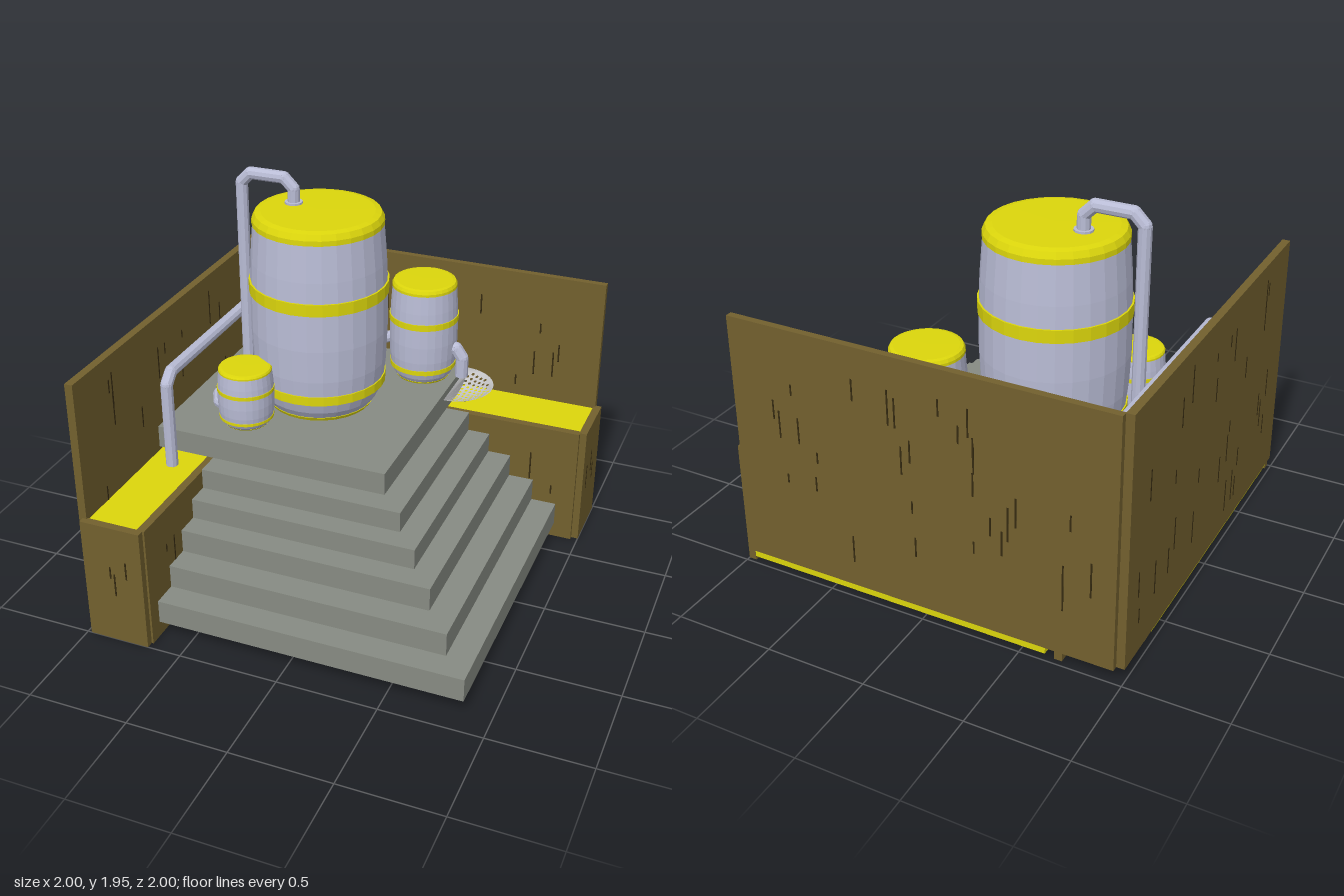
import * as THREE from 'three';

const mat = (name, color, extra = {}) => Object.assign(new THREE.MeshStandardMaterial({ color, ...extra }), { name });

export function createModel() {
  const root = new THREE.Group();
  const wood = mat('brown wood', 0x72602e);
  const grain = mat('dark wood grain', 0x352a11);
  const stone = mat('grey stone', 0x878b83);
  const yellow = mat('yellow', 0xdcd60c, { flatShading: true });
  const metal = mat('pale metal', 0xb9bcd5, { flatShading: true });
  const steel = mat('light steel', 0xc4c4c6, { side: THREE.DoubleSide });

  const add = (name, geo, material, parent = root) => {
    const m = new THREE.Mesh(geo, material);
    m.name = name;
    parent.add(m);
    return m;
  };
  // Box given by its lower and upper limits
  const box = (name, material, x0, x1, y0, y1, z0, z1, parent = root) => {
    const m = add(name, new THREE.BoxGeometry(x1 - x0, y1 - y0, z1 - z0), material, parent);
    m.position.set((x0 + x1) / 2, (y0 + y1) / 2, (z0 + z1) / 2);
    return m;
  };

  let seed = 7;
  const rand = () => (seed = (seed * 16807) % 2147483647) / 2147483647;

  // Wooden board with thin vertical grain marks showing on both faces
  const board = (name, x0, x1, y0, y1, z0, z1, marks) => {
    const g = new THREE.Group();
    g.name = name;
    root.add(g);
    box(name + 'Panel', wood, x0, x1, y0, y1, z0, z1, g);
    const alongX = x1 - x0 > z1 - z0, e = 0.002, w = 0.004;
    for (let i = 0; i < marks; i++) {
      const t = 0.06 + 0.88 * rand(), len = 0.04 + 0.15 * rand();
      const y = y0 + 0.08 + rand() * (y1 - y0 - len - 0.16);
      if (alongX) {
        const x = x0 + t * (x1 - x0);
        box('grainMark', grain, x - w, x + w, y, y + len, z0 - e, z1 + e, g);
      } else {
        const z = z0 + t * (z1 - z0);
        box('grainMark', grain, x0 - e, x1 + e, y, y + len, z - w, z + w, g);
      }
    }
  };

  // Tall walls
  board('backWall', -0.96, 0.97, 0.07, 1.34, -1, -0.965, 30);
  board('leftWall', -1, -0.96, 0.07, 1.34, -0.97, 0.97, 30);

  // Planter boards and filling
  board('leftPlanterFront', -0.98, -0.67, 0, 0.64, 0.96, 1, 3);
  board('leftPlanterSide', -0.7, -0.66, 0, 0.64, -0.97, 0.965, 12);
  board('rightPlanterFront', -0.97, 0.965, 0, 0.64, -0.68, -0.64, 12);
  board('rightPlanterEnd', 0.96, 1, 0, 0.64, -0.98, -0.66, 3);
  box('leftPlanterFill', yellow, -0.98, -0.7, 0.02, 0.63, -0.62, 0.96);
  box('rightPlanterFill', yellow, -0.62, 0.96, 0.02, 0.63, -0.98, -0.68);

  // Stepped platform: right edge, front edge, bottom, top
  [
    [0.87, 0.895, 0.08, 0.2],
    [0.74, 0.765, 0.2, 0.32],
    [0.61, 0.63, 0.32, 0.44],
    [0.49, 0.51, 0.44, 0.545],
    [0.375, 0.395, 0.545, 0.65],
  ].forEach(([x, z, y0, y1]) => box('step', stone, -0.66, x, y0, y1, -0.64, z));
  box('topPlatform', stone, -0.96, 0.25, 0.65, 0.765, -0.965, 0.275);

  // Barrel: bulged body, two bands, base and lid
  const lathe = (pts) => new THREE.LatheGeometry(pts.map(([r, y]) => new THREE.Vector2(r, y)), 28);
  const band = (y0, y1, r) => lathe([[r - 0.03, y0], [r, y0], [r, y1], [r - 0.03, y1]]);
  const parts = [
    ['barrelBody', metal, lathe([[0.27, 0.015], [0.3, 0.06], [0.325, 0.13], [0.338, 0.25], [0.345, 0.42],
      [0.343, 0.64], [0.337, 0.78], [0.322, 0.97]])],
    ['barrelLowerBand', yellow, band(0.12, 0.167, 0.335)],
    ['barrelMiddleBand', yellow, band(0.613, 0.675, 0.35)],
    ['barrelBase', yellow, lathe([[0, 0], [0.265, 0], [0.277, 0.02], [0.25, 0.025]])],
    ['barrelLid', yellow, lathe([[0.31, 0.965], [0.326, 0.965], [0.325, 0.99], [0.31, 1.018], [0.28, 1.025], [0, 1.027]])],
  ];
  const barrel = (name, x, z, sr, sy) => {
    const g = new THREE.Group();
    g.name = name;
    parts.forEach(([n, m, geo]) => add(n, geo, m, g));
    g.position.set(x, 0.765, z);
    g.scale.set(sr, sy, sr);
    root.add(g);
  };
  barrel('largeBarrel', -0.335, -0.325, 1, 1);
  barrel('mediumBarrel', 0.065, -0.775, 0.52, 0.53);
  barrel('smallFrontBarrel', -0.577, 0.05, 0.41, 0.3);
  barrel('smallBackBarrel', -0.565, -0.8, 0.41, 0.3);

  // Pipe: straight tubes with chamfered corners and rounded joints
  const up = new THREE.Vector3(0, 1, 0);
  const pipe = (name, r, list) => {
    const g = new THREE.Group();
    g.name = name;
    root.add(g);
    const p = list.map((a) => new THREE.Vector3(...a));
    const pts = [p[0]];
    for (let i = 1; i < p.length - 1; i++) {
      for (const q of [p[i - 1], p[i + 1]]) {
        const d = q.clone().sub(p[i]);
        pts.push(p[i].clone().addScaledVector(d.clone().normalize(), Math.min(0.05, d.length() * 0.4)));
      }
    }
    pts.push(p[p.length - 1]);
    for (let i = 1; i < pts.length; i++) {
      const d = pts[i].clone().sub(pts[i - 1]);
      const tube = add('pipeTube', new THREE.CylinderGeometry(r, r, d.length(), 10), metal, g);
      tube.position.copy(pts[i]).addScaledVector(d, -0.5);
      tube.quaternion.setFromUnitVectors(up, d.normalize());
      if (i < pts.length - 1) add('pipeJoint', new THREE.SphereGeometry(r, 10, 8), metal, g).position.copy(pts[i]);
    }
  };
  pipe('tallPipe', 0.031, [[-0.48, 1.78, -0.36], [-0.48, 1.915, -0.36], [-0.76, 1.915, -0.36], [-0.76, 0.85, -0.36]]);
  pipe('lowPipe', 0.031, [[-0.66, 0.85, -0.8], [-0.76, 0.85, -0.76], [-0.76, 0.85, 0.04], [-0.66, 0.85, 0.1]]);
  pipe('planterPipe', 0.031, [[-0.51, 1.06, -0.815], [-0.51, 1.125, -0.815], [-0.835, 1.125, -0.815],
    [-0.835, 1.125, 0.375], [-0.835, 0.62, 0.375]]);
  pipe('linkPipe', 0.031, [[-0.15, 0.95, -0.55], [-0.15, 0.95, -0.78], [0, 0.95, -0.78]]);
  pipe('spout', 0.034, [[0.2, 0.945, -0.765], [0.285, 0.945, -0.765], [0.285, 0.79, -0.765]]);

  // Collars where pipes enter the lids
  [[-0.48, 1.795, -0.36], [-0.51, 1.076, -0.815]].forEach((c) =>
    add('pipeCollar', new THREE.CylinderGeometry(0.045, 0.045, 0.012, 12), metal).position.set(...c));

  // Half-round strainer: perforated half disc sagged into a shallow bowl
  const R = 0.2;
  const half = new THREE.Shape();
  half.absarc(0, 0, R, -Math.PI / 2, Math.PI / 2, false);
  half.closePath();
  for (let i = 0; i < 7; i++) {
    for (let j = -6; j <= 6; j++) {
      const x = 0.018 + i * 0.027, y = (j + (i % 2) * 0.5) * 0.03;
      if (Math.hypot(x, y) < R - 0.02) half.holes.push(new THREE.Path().absarc(x, y, 0.008, 0, Math.PI * 2, true));
    }
  }
  const bowl = new THREE.ShapeGeometry(half, 24).rotateX(-Math.PI / 2);
  const pos = bowl.attributes.position;
  for (let i = 0; i < pos.count; i++) {
    const k = (pos.getX(i) ** 2 + pos.getZ(i) ** 2) / (R * R);
    pos.setY(i, -0.065 * (1 - k));
  }
  bowl.computeVertexNormals();
  add('strainer', bowl, steel).position.set(0.255, 0.737, -0.765);

  return root;
}
